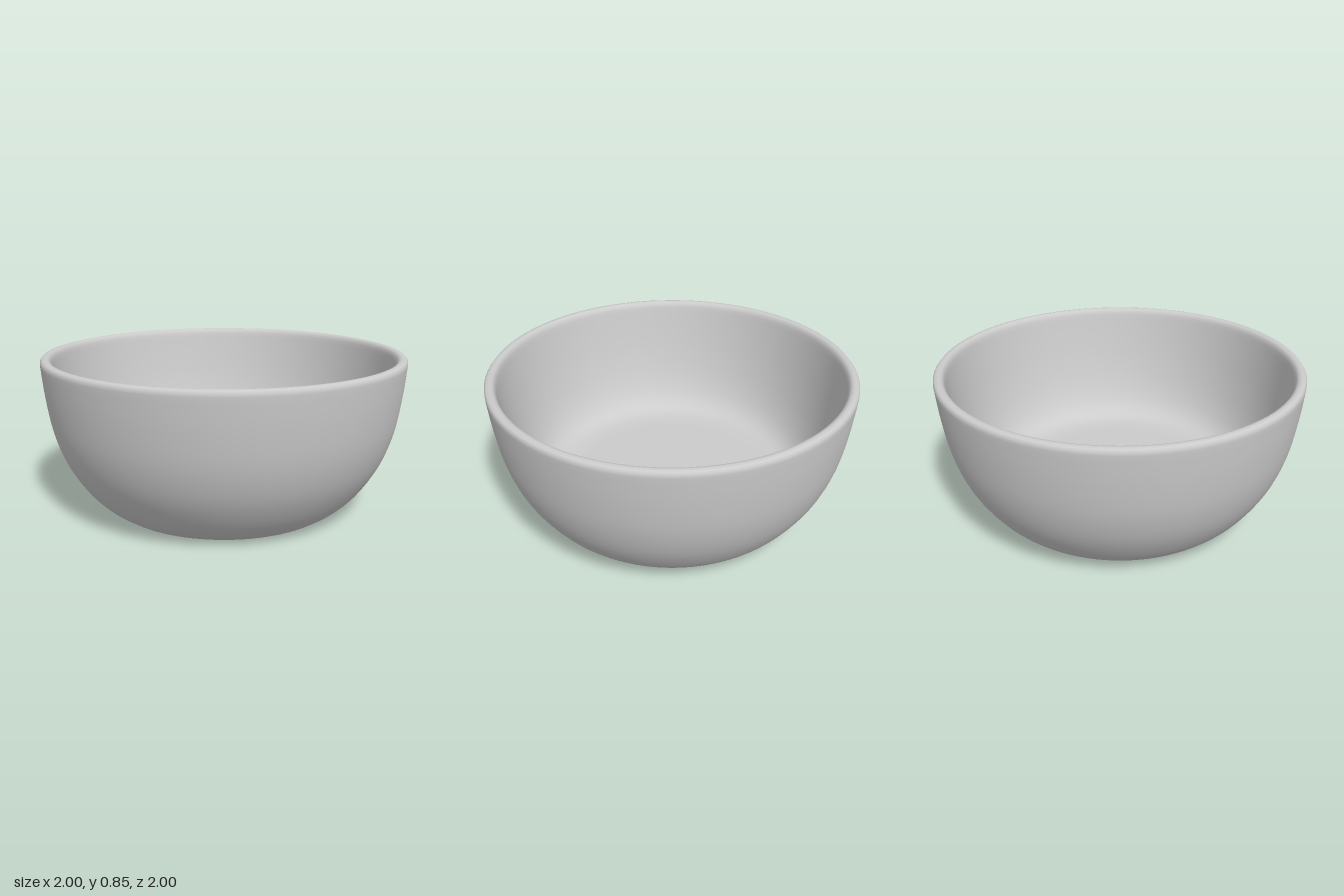
import * as THREE from 'three';

const v = (x, y) => new THREE.Vector2(x, y);
const spline = (pts, n) => new THREE.SplineCurve(pts.map(p => v(...p))).getPoints(n);

export function createModel() {
  const group = new THREE.Group();
  const material = new THREE.MeshStandardMaterial({ color: 0xcccccc });

  // Outer wall, from the edge of the flat base up to the rim
  const outer = spline([[0.665, 0.02], [0.72, 0.06], [0.8, 0.145], [0.89, 0.29],
    [0.95, 0.46], [0.982, 0.65], [0.998, 0.82]], 24);
  // Narrow rounded rim, flat on top
  const rim = [v(0.997, 0.837), v(0.988, 0.848), v(0.97, 0.852),
    v(0.955, 0.849), v(0.944, 0.838)];
  // Inner wall, nearly straight, turning into a thick flat floor
  const inner = spline([[0.938, 0.82], [0.912, 0.68], [0.877, 0.52], [0.832, 0.37],
    [0.78, 0.26], [0.72, 0.195], [0.65, 0.168], [0.55, 0.16]], 28);

  const profile = [v(0, 0), v(0.63, 0), v(0.645, 0.006), ...outer, ...rim, ...inner, v(0, 0.16)];
  const bowl = new THREE.Mesh(new THREE.LatheGeometry(profile, 96), material);
  bowl.name = 'bowl';
  group.add(bowl);
  return group;
}
